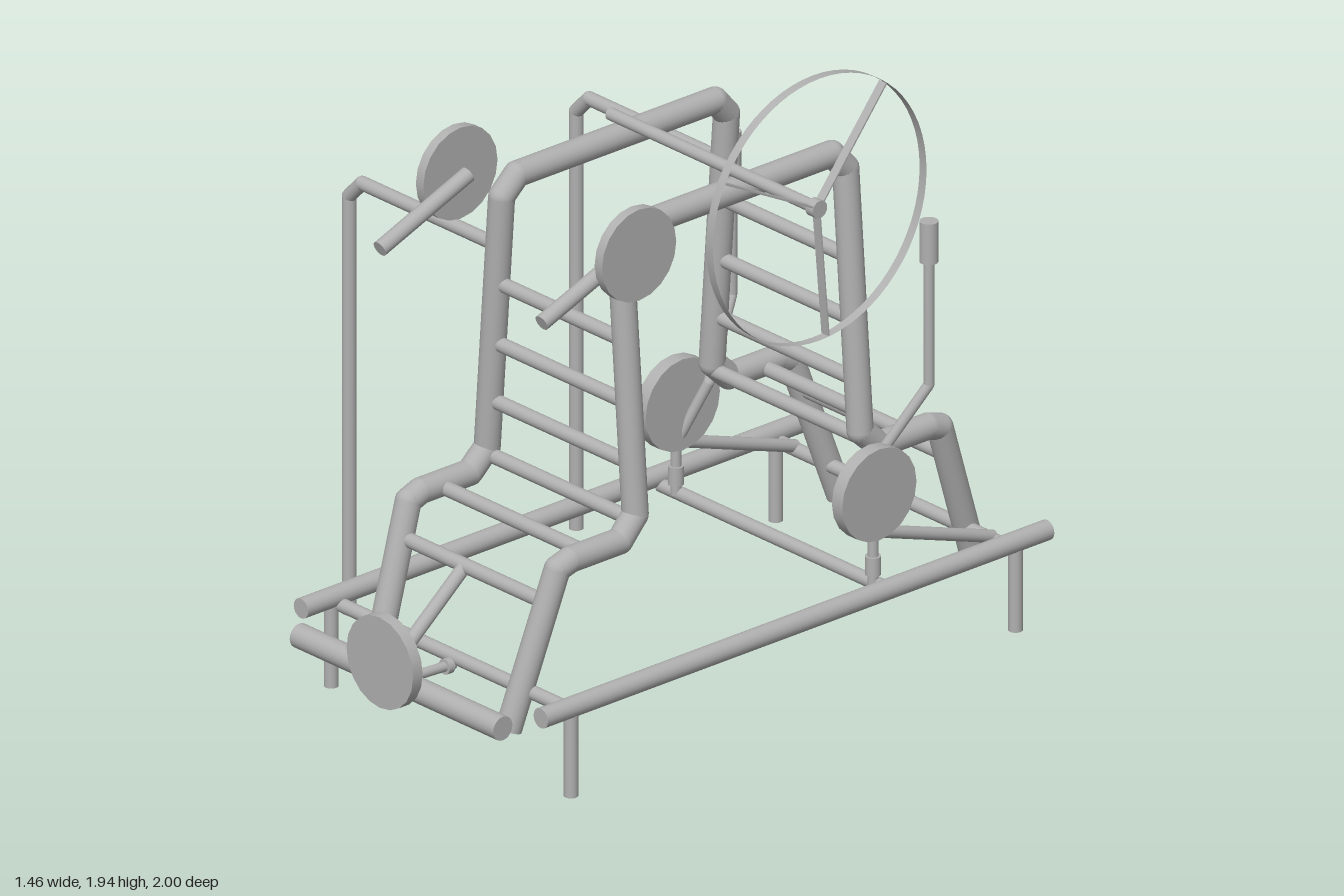
import * as THREE from 'three';

const CX = 0.142; // centre line of the frame in x
const steel = new THREE.MeshStandardMaterial({ color: 0xb0b0b0 });
steel.name = 'steelGrey';
const steelSheet = new THREE.MeshStandardMaterial({ color: 0xb0b0b0, side: THREE.DoubleSide });
steelSheet.name = 'steelGreySheet';

const V = (p) => new THREE.Vector3(...p);

function add(parent, name, geometry, material = steel) {
  const mesh = new THREE.Mesh(geometry, material);
  mesh.name = name;
  parent.add(mesh);
  return mesh;
}

// Straight round bar between two points
function bar(parent, name, a, b, r) {
  const p = V(a), q = V(b), d = q.clone().sub(p);
  const mesh = add(parent, name, new THREE.CylinderGeometry(r, r, d.length(), 20));
  mesh.position.copy(p).add(q).multiplyScalar(0.5);
  mesh.quaternion.setFromUnitVectors(new THREE.Vector3(0, 1, 0), d.normalize());
  return mesh;
}

// Bent pipe: straight bars with round joints at the bends
function pipe(parent, name, points, r) {
  const group = new THREE.Group();
  group.name = name;
  parent.add(group);
  for (let i = 0; i < points.length - 1; i++) {
    bar(group, name + 'Section', points[i], points[i + 1], r);
    if (i > 0) add(group, name + 'Joint', new THREE.SphereGeometry(r, 20, 12)).position.set(...points[i]);
  }
}

export function createModel() {
  const model = new THREE.Group();
  model.name = 'playFrame';

  // Bent side rails: [distance from centre line, y, z] from front foot to back foot
  const railPath = [
    [0.27, 0.165, 0.765], [0.3, 0.605, 0.615], [0.302, 0.62, 0.57], [0.302, 0.62, 0.39],
    [0.298, 0.68, 0.33], [0.24, 1.44, 0.33], [0.235, 1.493, 0.28],
    [0.235, 1.493, -0.44], [0.24, 1.44, -0.487], [0.298, 0.68, -0.487],
    [0.302, 0.62, -0.55], [0.302, 0.62, -0.73], [0.3, 0.605, -0.775], [0.27, 0.165, -0.925],
  ];

  for (const s of [-1, 1]) {
    const side = s > 0 ? 'left' : 'right';
    const at = (h, y, z) => [CX + s * h, y, z];

    pipe(model, side + 'Rail', railPath.map((p) => at(...p)), 0.037);

    // Base bar on two short legs
    bar(model, side + 'BaseBar', at(0.483, 0.292, 0.84), at(0.483, 0.292, -1), 0.029);
    for (const z of [0.73, -0.885]) {
      bar(model, side + 'BaseLeg', at(0.483, 0.03, z), at(0.483, 0.28, z), 0.02);
    }

    // Upper disc with its handle
    bar(model, side + 'UpperDisc', at(0.345, 1.49, 0.385), at(0.375, 1.49, 0.385), 0.135);
    bar(model, side + 'Handle', at(0.326, 1.49, 0.375), at(0.326, 1.366, 0.695), 0.023);

    // Lower disc and its strut
    bar(model, side + 'LowerDisc', at(0.375, 0.54, -0.45), at(0.417, 0.54, -0.45), 0.135);
    bar(model, side + 'Strut', at(0.397, 0.43, -0.44), at(0.397, 0.28, -0.88), 0.018);

    // Bent lever with grip and foot collar
    pipe(model, side + 'Lever', [
      at(0.397, 1.2, -0.648), at(0.397, 0.8, -0.648), at(0.337, 0.6, -0.51),
      at(0.397, 0.42, -0.445), at(0.397, 0.27, -0.445),
    ], 0.015);
    bar(model, side + 'LeverGrip', at(0.397, 1.165, -0.648), at(0.397, 1.285, -0.648), 0.026);
    bar(model, side + 'LeverCollar', at(0.397, 0.3, -0.445), at(0.397, 0.355, -0.445), 0.022);
  }

  // Cross bars of the base
  for (const z of [0.71, -0.455, -0.88]) {
    bar(model, 'baseCrossBar', [CX - 0.47, 0.27, z], [CX + 0.47, 0.27, z], 0.02);
  }

  // Ladder rungs: [half length, y, z]
  const rungs = [[0.295, 0.51, 0.645], [0.3, 0.615, 0.5], [0.295, 0.51, -0.805], [0.3, 0.615, -0.667]];
  for (const z of [0.33, -0.487]) {
    for (const y of [0.66, 0.825, 1.0, 1.18]) rungs.push([0.298 - (y - 0.68) * 0.0763, y, z]);
  }
  for (const [h, y, z] of rungs) bar(model, 'rung', [CX - h, y, z], [CX + h, y, z], 0.021);

  // Tall bent posts standing beside the right rail
  for (const z of [0.33, -0.495]) {
    pipe(model, 'tallPost', [[-0.712, 0, z], [-0.712, 1.235, z], [-0.66, 1.29, z], [-0.11, 1.29, z]], 0.02);
  }

  // Front roller, its links and the front disc
  bar(model, 'frontRoller', [-0.25, 0.27, 0.928], [0.57, 0.27, 0.928], 0.035);
  bar(model, 'frontBrace', [0.104, 0.51, 0.645], [0.104, 0.28, 0.925], 0.02);
  bar(model, 'frontLink', [0.142, 0.255, 0.72], [0.142, 0.265, 0.92], 0.014);
  bar(model, 'frontLinkCollar', [0.142, 0.255, 0.735], [0.142, 0.256, 0.755], 0.022);
  bar(model, 'frontDisc', [0.154, 0.347, 0.965], [0.154, 0.347, 1], 0.134);

  // Wheel on its axle: thin open rim with three flat spokes
  bar(model, 'wheelAxle', [-0.115, 1.555, -0.08], [0.715, 1.555, -0.08], 0.018);
  const wheel = new THREE.Group();
  wheel.name = 'wheel';
  wheel.position.set(0.715, 1.555, -0.08);
  model.add(wheel);
  bar(wheel, 'wheelHub', [-0.015, 0, 0], [0.015, 0, 0], 0.026);
  const rim = new THREE.CylinderGeometry(0.388, 0.388, 0.028, 64, 1, true);
  add(wheel, 'wheelRim', rim.rotateZ(Math.PI / 2), steelSheet);
  for (const degrees of [27.5, 129, 265]) {
    const spoke = new THREE.BoxGeometry(0.028, 0.005, 0.386);
    spoke.translate(0, 0, 0.193).rotateX(-THREE.MathUtils.degToRad(degrees));
    add(wheel, 'wheelSpoke', spoke);
  }

  return model;
}
